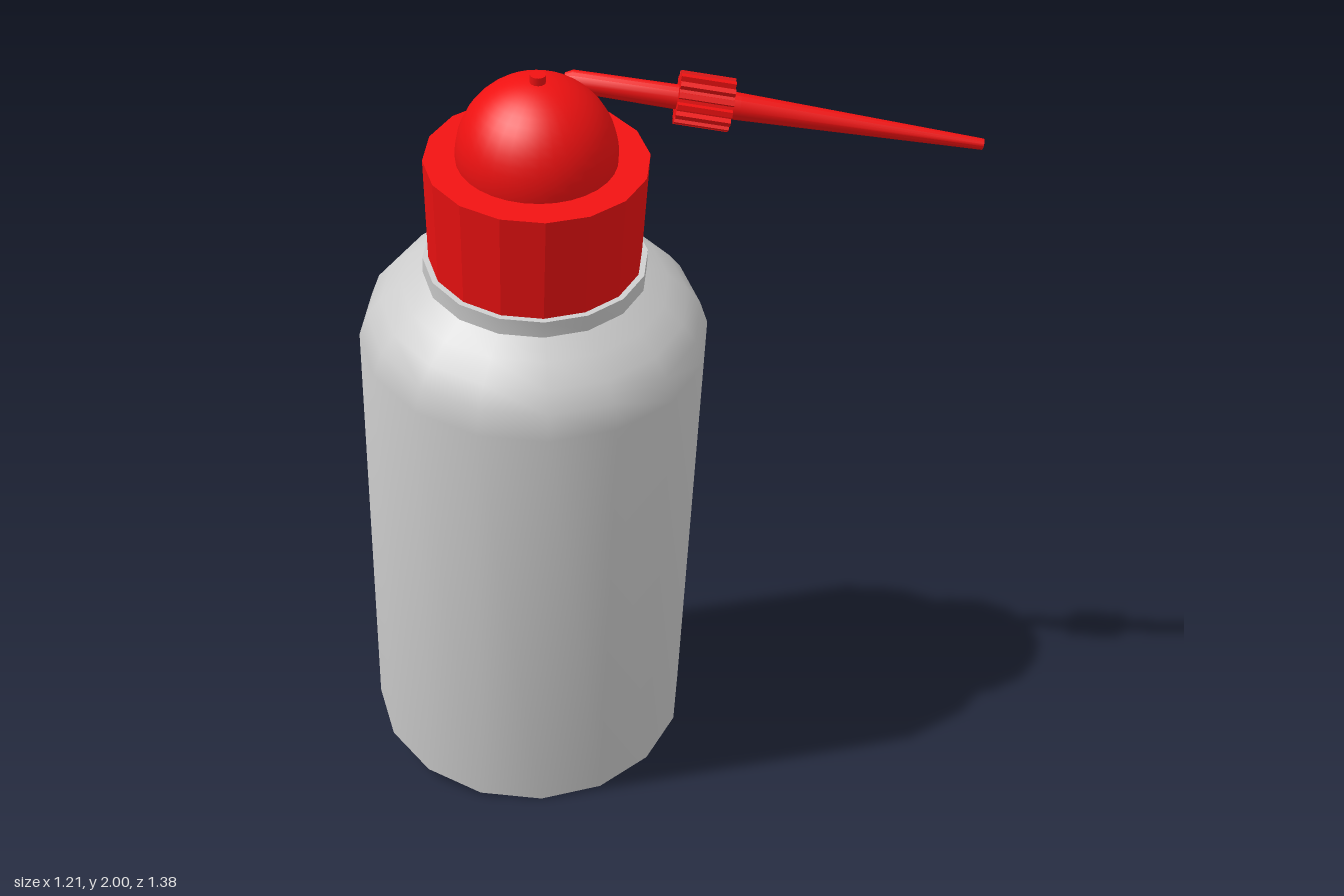
import * as THREE from 'three';
import { toCreasedNormals } from 'three/addons/utils/BufferGeometryUtils.js';

const UP = new THREE.Vector3(0, 1, 0);
const SIDES = 16;
const PHASE = 0.24;

const grey = new THREE.MeshStandardMaterial({ color: 0xcccccc });
const red = new THREE.MeshStandardMaterial({ color: 0xee1111 });
const redFlat = new THREE.MeshStandardMaterial({ color: 0xee1111, flatShading: true });

function part(name, geometry, material, parent) {
  const mesh = new THREE.Mesh(geometry, material);
  mesh.name = name;
  parent.add(mesh);
  return mesh;
}

// Turned part from [radius, height] pairs, listed bottom to top
function lathe(profile, sides, crease = 0.75) {
  const pts = profile.map(([r, y]) => new THREE.Vector2(r, y));
  return toCreasedNormals(new THREE.LatheGeometry(pts, sides, PHASE), crease);
}

// Group whose local y axis runs along a given direction
function axisGroup(name, origin, direction, parent) {
  const group = new THREE.Group();
  group.name = name;
  group.position.copy(origin);
  group.quaternion.setFromUnitVectors(UP, direction.clone().normalize());
  parent.add(group);
  return group;
}

// Toothed ring for the nozzle collar, centred on the y axis
function ridgedCollar(teeth, outer, inner, length) {
  const shape = new THREE.Shape();
  const step = (Math.PI * 2) / teeth;
  for (let i = 0; i < teeth; i++) {
    [[0, inner], [0.12, outer], [0.55, outer], [0.67, inner]].forEach(([f, r], k) => {
      const a = (i + f) * step;
      const x = r * Math.cos(a), y = r * Math.sin(a);
      if (i === 0 && k === 0) shape.moveTo(x, y);
      else shape.lineTo(x, y);
    });
  }
  shape.closePath();
  const geo = new THREE.ExtrudeGeometry(shape, { depth: length, bevelEnabled: false });
  return geo.translate(0, 0, -length / 2).rotateX(-Math.PI / 2);
}

export function createModel() {
  const model = new THREE.Group();
  model.name = 'squeezeBottle';

  // Leaning bottle: everything turned shares one tilted axis
  const bottle = axisGroup('tiltedBottle', new THREE.Vector3(-0.01, 0.117, -0.29),
    new THREE.Vector3(-0.15, 1, 0.25), model);

  // Body with rounded shoulder and short neck ring
  part('body', lathe([
    [0, 0], [0.416, 0], [0.419, 1.255], [0.398, 1.315], [0.364, 1.358],
    [0.315, 1.4], [0.264, 1.432], [0.264, 1.475], [0, 1.475],
  ], SIDES), grey, bottle);

  // Faceted screw cap
  const cap = new THREE.CylinderGeometry(0.258, 0.25, 0.275, SIDES, 1, false, PHASE);
  part('screwCap', cap, redFlat, bottle).position.y = 1.603;

  // Dome and its small top nub
  const dome = new THREE.SphereGeometry(0.185, 32, 14, 0, Math.PI * 2, 0, Math.PI / 2 + 0.1);
  part('dome', dome, red, bottle).position.y = 1.752;
  const nub = new THREE.CylinderGeometry(0.018, 0.018, 0.04, 12);
  part('domeNub', nub, red, bottle).position.y = 1.935;

  // Spout running off the dome, local y pointing to the tip
  const start = new THREE.Vector3(-0.165, 1.948, 0.115);
  const tip = new THREE.Vector3(0.597, 1.796, 0.678);
  const along = tip.clone().sub(start);
  const length = along.length();
  const spout = axisGroup('spout', start, along, model);
  const collarAt = 0.313;

  part('spoutPipe', lathe([
    [0, -0.01], [0.016, -0.008], [0.025, 0.01], [0.029, collarAt], [0, collarAt],
  ], 16), red, spout);
  part('spoutCollar', ridgedCollar(14, 0.061, 0.049, 0.125), redFlat, spout).position.y = collarAt;
  part('spoutTip', lathe([
    [0, collarAt], [0.033, collarAt], [0.031, collarAt + 0.08],
    [0.013, length], [0, length],
  ], 16), red, spout);

  return model;
}
